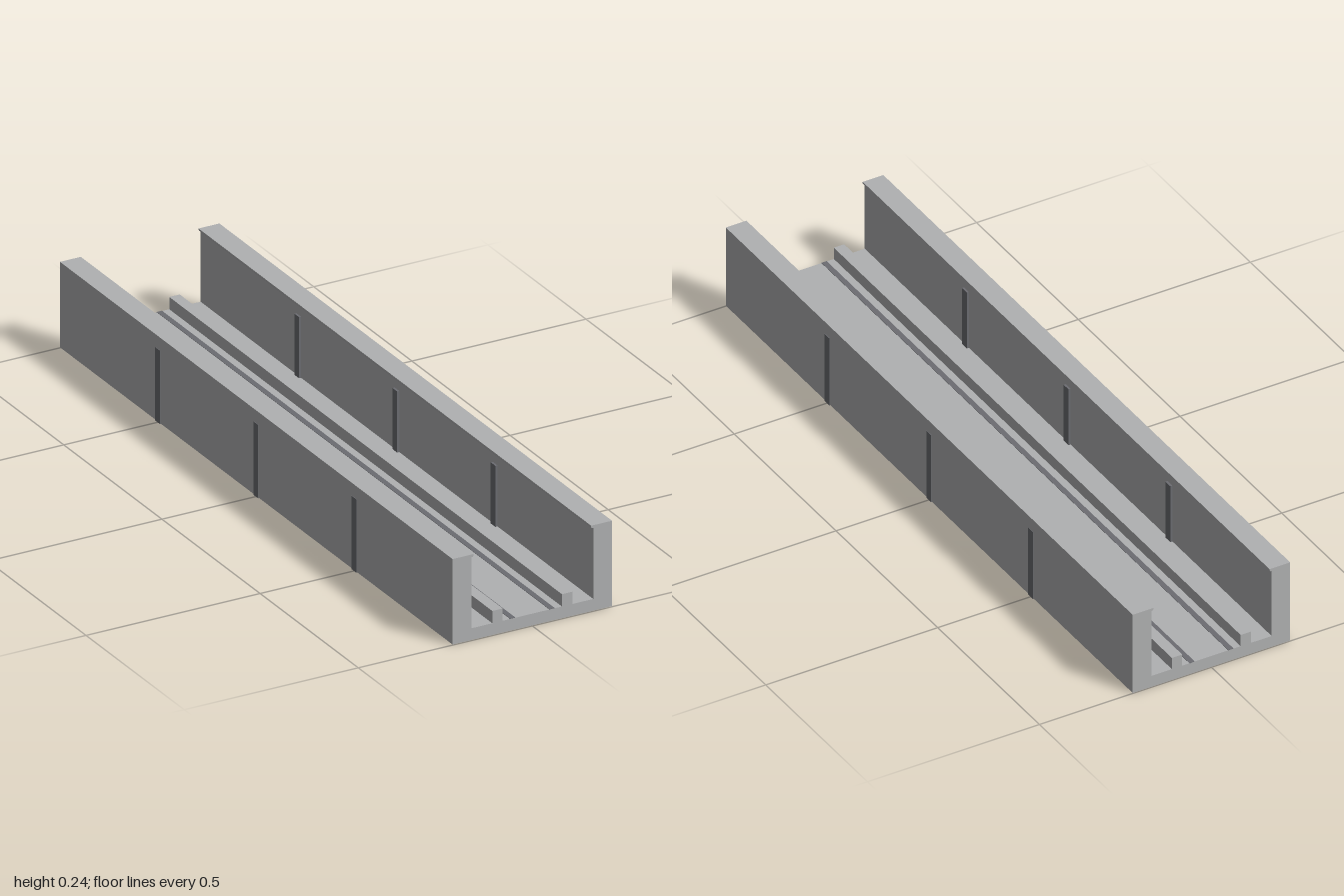
import * as THREE from 'three';

export function createModel() {
  const model = new THREE.Group();
  model.name = 'trackChannel';
  const concrete = new THREE.MeshStandardMaterial({ color: 0xb0b1b2 });
  concrete.name = 'light grey';
  const joint = new THREE.MeshStandardMaterial({ color: 0x6c6d72 });
  joint.name = 'dark grey';

  const LENGTH = 2;
  const BASE = 0.0015;

  // Right half of the channel section: floor, rail, wall and inward lip
  const half = [
    [0.085, 0.034], [0.085, 0.068], [0.115, 0.068], [0.115, 0.034],
    [0.175, 0.034], [0.175, 0.231], [0.171, 0.231], [0.169, 0.234],
    [0.169, 0.238], [0.229, 0.238], [0.229, BASE],
  ];
  const mirrored = half.map(([x, y]) => [-x, y]).reverse();
  const section = new THREE.Shape([...mirrored, ...half].map(([x, y]) => new THREE.Vector2(x, y)));
  const channelGeometry = new THREE.ExtrudeGeometry(section, { depth: LENGTH, bevelEnabled: false });
  channelGeometry.translate(0, 0, -LENGTH / 2);
  const channel = new THREE.Mesh(channelGeometry, concrete);
  channel.name = 'channel';
  model.add(channel);

  const addBox = (name, x0, x1, y0, y1, z, depth) => {
    const mesh = new THREE.Mesh(new THREE.BoxGeometry(x1 - x0, y1 - y0, depth), joint);
    mesh.position.set((x0 + x1) / 2, (y0 + y1) / 2, z);
    mesh.name = name;
    model.add(mesh);
  };

  for (const [side, s] of [['left', 1], ['right', -1]]) {
    const span = (a, b) => (s > 0 ? [a, b] : [-b, -a]);
    // Dark line along the floor
    addBox(`${side}FloorStrip`, ...span(0.049, 0.064), 0.033, 0.035, 0, LENGTH);
    // Joint ribs wrapping the wall inside, outside and below
    [-0.5, 0, 0.5].forEach((z, i) => {
      addBox(`${side}JointRib${i + 1}`, ...span(0.169, 0.2305), 0, 0.203, z, 0.024);
    });
  }
  return model;
}
